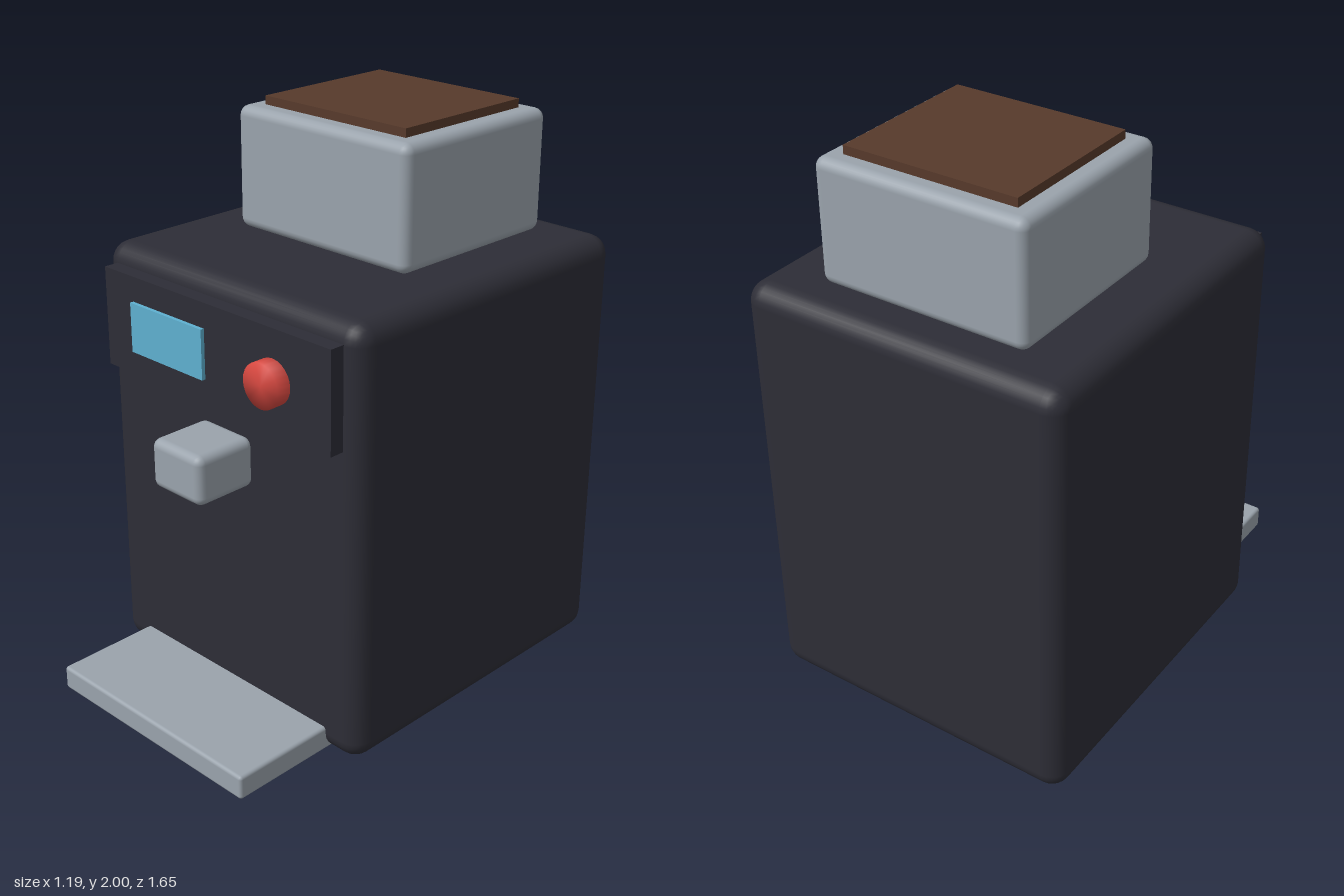
import * as THREE from 'three';
import { mergeVertices } from 'three/addons/utils/BufferGeometryUtils.js';
import { RoundedBoxGeometry } from 'three/addons/geometries/RoundedBoxGeometry.js';

const material = (name, color) => {
  const m = new THREE.MeshStandardMaterial({ color });
  m.name = name;
  return m;
};

export function createModel() {
  const group = new THREE.Group();
  group.name = 'coffeeMachine';
  const charcoal = material('charcoal', 0x2d2d36);
  const steel = material('steel', 0x9aa3ac);
  const brown = material('brown', 0x573a2b);
  const blue = material('screenBlue', 0x5eb0d0);
  const red = material('buttonRed', 0xd64840);

  // Box from its limits on each axis, rounded when a radius is given
  const box = (name, mat, [x0, x1], [y0, y1], [z0, z1], radius = 0) => {
    const size = [x1 - x0, y1 - y0, z1 - z0];
    const geometry = radius
      ? new RoundedBoxGeometry(...size, 3, radius)
      : new THREE.BoxGeometry(...size);
    const mesh = new THREE.Mesh(geometry, mat);
    mesh.name = name;
    mesh.position.set((x0 + x1) / 2, (y0 + y1) / 2, (z0 + z1) / 2);
    group.add(mesh);
  };

  // Housing, bean hopper and its lid
  box('body', charcoal, [-0.595, 0.595], [0, 1.545], [-0.825, 0.44], 0.07);
  box('hopper', steel, [-0.385, 0.385], [1.545, 1.97], [-0.685, 0.015], 0.035);
  box('hopperLid', brown, [-0.315, 0.315], [1.93, 2], [-0.617, -0.055]);

  // Control panel with screen
  box('controlPanel', charcoal, [-0.527, 0.527], [1.13, 1.48], [0.42, 0.493]);
  box('screen', blue, [-0.385, -0.035], [1.217, 1.392], [0.49, 0.507]);

  // Spout and drip tray
  box('spout', steel, [-0.118, 0.118], [0.865, 1.04], [0.425, 0.665], 0.03);
  box('dripTray', steel, [-0.455, 0.455], [0.005, 0.092], [0.385, 0.825], 0.012);

  // Button with softly shaded rim
  let knob = new THREE.CylinderGeometry(0.077, 0.077, 0.08, 24);
  knob.deleteAttribute('uv');
  knob.deleteAttribute('normal');
  knob = mergeVertices(knob);
  knob.computeVertexNormals();
  knob.rotateX(Math.PI / 2);
  const button = new THREE.Mesh(knob, red);
  button.name = 'button';
  button.position.set(0.278, 1.304, 0.506);
  group.add(button);

  return group;
}
